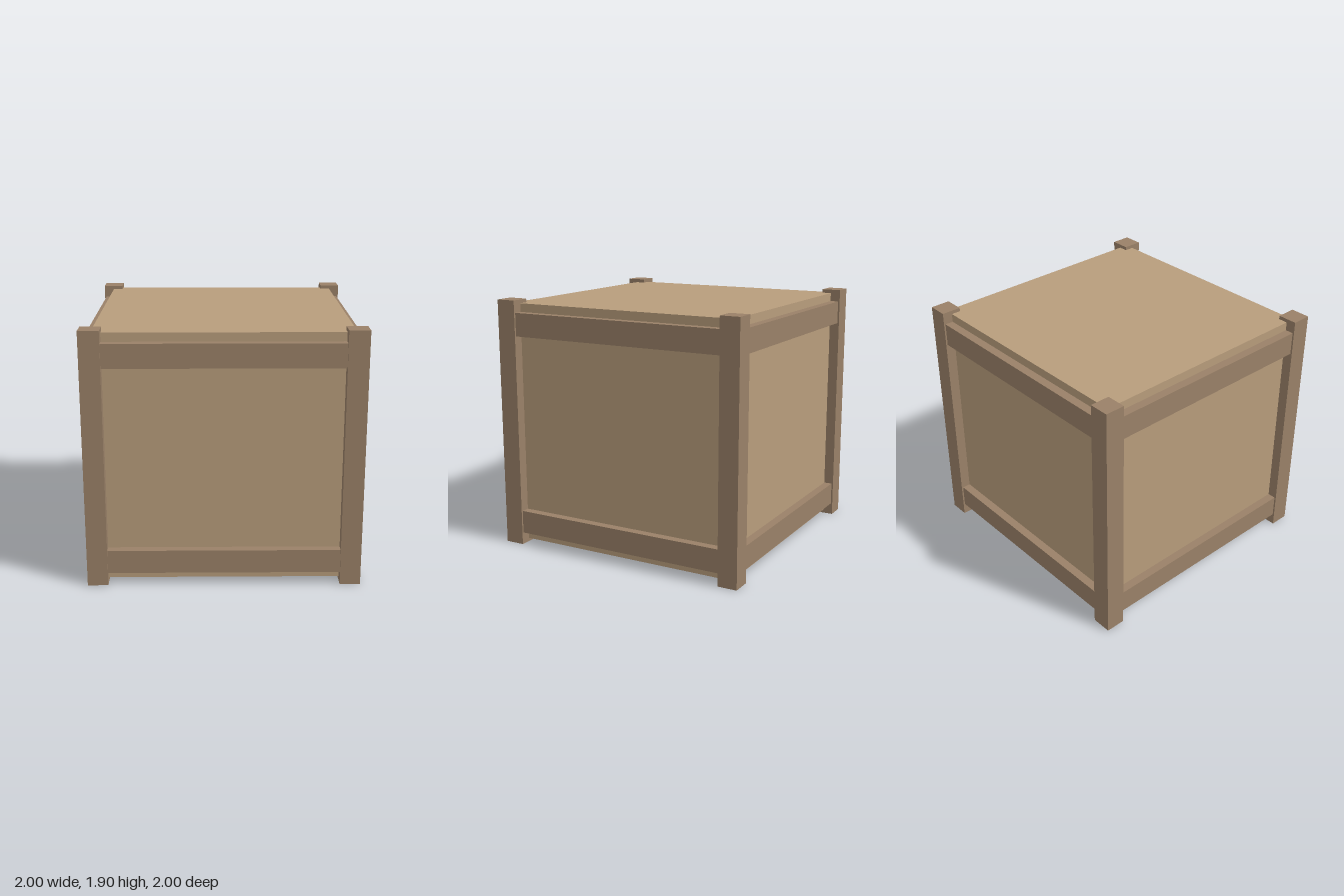
import * as THREE from 'three';

const panelMaterial = new THREE.MeshStandardMaterial({ color: 0xb89d7c });
const frameMaterial = new THREE.MeshStandardMaterial({ color: 0x9a8168 });

function addBox(parent, name, material, size, position) {
  const mesh = new THREE.Mesh(new THREE.BoxGeometry(...size), material);
  mesh.name = name;
  mesh.position.set(...position);
  parent.add(mesh);
  return mesh;
}

export function createModel() {
  const crate = new THREE.Group();
  crate.name = 'crate';

  const height = 1.9, midY = height / 2;
  const post = 0.15, postCentre = 1 - post / 2;
  const body = 1.845;
  const railOuter = 0.987, railInner = 0.9, railHeight = 0.176, railOffset = 0.77;

  // Closed body, raised slightly off the ground
  addBox(crate, 'body', panelMaterial, [body, body, body], [0, midY, 0]);

  // Corner posts
  for (const x of [-1, 1]) {
    for (const z of [-1, 1]) {
      addBox(crate, 'cornerPost', frameMaterial, [post, height, post],
        [x * postCentre, midY, z * postCentre]);
    }
  }

  // An upper and a lower rail between the posts on each of the four sides
  const railLength = 2 * (1 - post);
  const sides = ['front', 'left', 'back', 'right'];
  sides.forEach((sideName, i) => {
    const side = new THREE.Group();
    side.name = sideName + 'Rails';
    side.rotation.y = i * Math.PI / 2;
    for (const [name, dir] of [['lowerRail', -1], ['upperRail', 1]]) {
      addBox(side, name, frameMaterial, [railLength, railHeight, railOuter - railInner],
        [0, midY + dir * railOffset, (railOuter + railInner) / 2]);
    }
    crate.add(side);
  });

  return crate;
}
